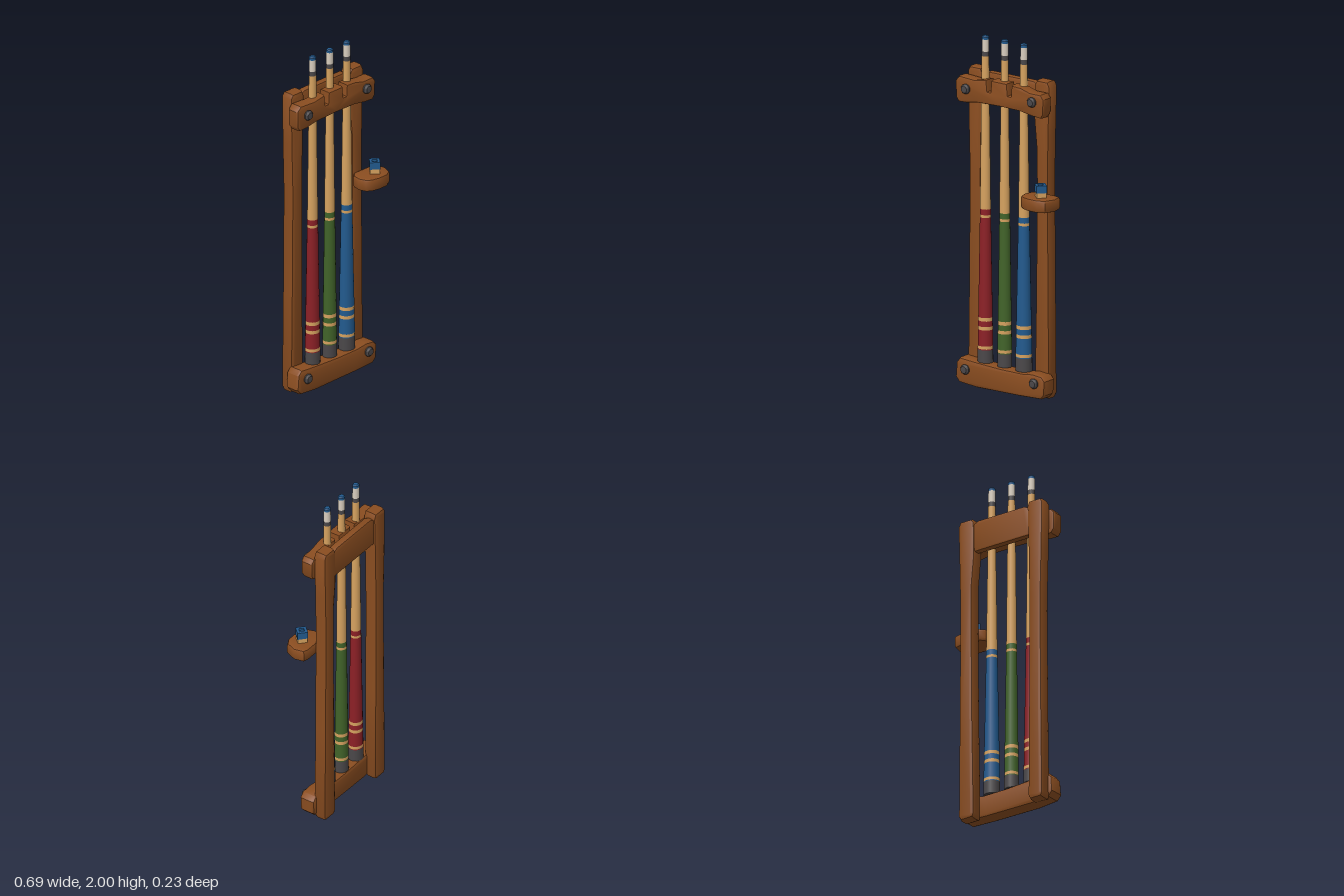
import * as THREE from 'three';
import { toCreasedNormals } from 'three/addons/utils/BufferGeometryUtils.js';

const mat = (name, color) => {
  const m = new THREE.MeshStandardMaterial({ color });
  m.name = name;
  return m;
};

export function createModel() {
  const root = new THREE.Group();
  root.name = 'cueRack';

  const wood = mat('brownWood', 0x8a4d20);
  const maple = mat('paleWood', 0xd6a25f);
  const red = mat('red', 0x8c2026);
  const green = mat('green', 0x416329);
  const blue = mat('blue', 0x225a8e);
  const grey = mat('darkGrey', 0x4a4749);
  const white = mat('offWhite', 0xd8cdbe);

  const add = (parent, name, geo, material) => {
    const mesh = new THREE.Mesh(geo, material);
    mesh.name = name;
    parent.add(mesh);
    return mesh;
  };

  // Bevelled slab: outline in x/y, thickness from z0 to z1
  const slab = (pts, z0, z1, bevel, holes = []) => {
    const shape = new THREE.Shape(pts.map(p => new THREE.Vector2(...p)));
    holes.forEach(h => shape.holes.push(new THREE.Path(h.map(p => new THREE.Vector2(...p)))));
    const geo = new THREE.ExtrudeGeometry(shape, {
      depth: z1 - z0 - 2 * bevel, bevelEnabled: bevel > 0, bevelThickness: bevel,
      bevelSize: bevel, bevelOffset: -bevel, bevelSegments: 2,
    });
    geo.translate(0, 0, z0 + bevel);
    return toCreasedNormals(geo, 0.7);
  };

  // Upright posts, slightly waisted
  add(root, 'rightPost', slab([
    [-0.31, 0.005], [-0.235, 0.005], [-0.222, 0.03], [-0.226, 0.6], [-0.228, 1.2], [-0.222, 1.55],
    [-0.215, 1.77], [-0.228, 1.8], [-0.305, 1.8], [-0.32, 1.775], [-0.316, 1.5], [-0.308, 1.2],
    [-0.313, 0.6], [-0.32, 0.03],
  ], -0.114, -0.035, 0.018), wood);
  add(root, 'leftPost', slab([
    [0.155, 0.005], [0.235, 0.005], [0.248, 0.03], [0.243, 0.6], [0.238, 1.25], [0.243, 1.5],
    [0.25, 1.77], [0.235, 1.8], [0.16, 1.8], [0.143, 1.775], [0.14, 1.58], [0.157, 1.4],
    [0.158, 1.2], [0.153, 0.6], [0.143, 0.03],
  ], -0.113, -0.035, 0.018), wood);

  // Rails
  add(root, 'upperBackRail', slab([
    [-0.225, 1.6], [0.155, 1.6], [0.155, 1.765], [0.12, 1.782], [-0.19, 1.782], [-0.225, 1.765],
  ], -0.104, -0.06, 0.012), wood);
  add(root, 'upperFrontRail', slab([
    [-0.325, 1.61], [-0.27, 1.612], [-0.2, 1.625], [-0.04, 1.63], [0.1, 1.628], [0.18, 1.615],
    [0.245, 1.61], [0.262, 1.635], [0.265, 1.72], [0.245, 1.745], [0.17, 1.745], [0.11, 1.762],
    [0.043, 1.766], [0.038, 1.7], [0.016, 1.7], [0.011, 1.768], [-0.098, 1.768], [-0.103, 1.7],
    [-0.125, 1.7], [-0.132, 1.765], [-0.21, 1.752], [-0.32, 1.758], [-0.345, 1.73], [-0.343, 1.635],
  ], -0.037, 0.038, 0.012), wood);
  add(root, 'lowerRail', slab([
    [-0.32, 0.02], [-0.2, 0.01], [0.1, 0.014], [0.245, 0.02], [0.27, 0.045], [0.275, 0.125],
    [0.25, 0.15], [0.19, 0.156], [0.12, 0.147], [-0.03, 0.147], [-0.2, 0.155], [-0.315, 0.163],
    [-0.338, 0.135], [-0.345, 0.05],
  ], -0.055, 0.04, 0.016), wood);

  // Bolt heads
  const boltProfile = [[0.027, 0], [0.029, 0.012], [0.02, 0.025], [0, 0.027]]
    .map(p => new THREE.Vector2(...p));
  const boltGeo = toCreasedNormals(new THREE.LatheGeometry(boltProfile, 10).rotateX(Math.PI / 2), 0.7);
  for (const [x, y] of [[-0.268, 1.693], [0.19, 1.697], [-0.271, 0.103], [0.205, 0.105]]) {
    add(root, 'bolt', boltGeo, grey).position.set(x, y, 0.036);
  }

  // Chalk shelf: outline in x and -z, laid flat
  const shelf = slab([
    [0.131, -0.037], [0.145, -0.08], [0.17, -0.1], [0.215, -0.112], [0.28, -0.112], [0.32, -0.09],
    [0.343, -0.03], [0.33, 0.028], [0.3, 0.037], [0.17, 0.037], [0.14, 0.01],
  ], 1.098, 1.172, 0.014);
  add(root, 'chalkShelf', shelf.rotateX(-Math.PI / 2), wood);

  // Chalk cube with a hollowed top
  const chalk = new THREE.Group();
  chalk.name = 'chalk';
  chalk.position.set(0.252, 1.168, 0.042);
  chalk.rotation.y = 0.85;
  root.add(chalk);
  const square = s => [[-s, -s], [s, -s], [s, s], [-s, s]];
  add(chalk, 'chalkWrapper', new THREE.BoxGeometry(0.053, 0.034, 0.053).translate(0, 0.017, 0), maple);
  add(chalk, 'chalkBody', new THREE.BoxGeometry(0.058, 0.03, 0.058).translate(0, 0.047, 0), blue);
  add(chalk, 'chalkRim', slab(square(0.029), 0.062, 0.074, 0, [square(0.014)])
    .rotateX(-Math.PI / 2), blue);

  // Cues: stacked tapered sections
  const stations = [[0.15, 0.045], [0.225, 0.044], [1.02, 0.031], [1.6, 0.024], [2, 0.02]];
  const radiusAt = (y, butt) => {
    let i = 0;
    while (i < stations.length - 2 && y > stations[i + 1][0]) i++;
    const [[y0, r0], [y1, r1]] = [stations[i], stations[i + 1]];
    const fat = THREE.MathUtils.lerp(butt, 1, THREE.MathUtils.clamp((y - 0.2) / 1.4, 0, 1));
    return THREE.MathUtils.lerp(r0, r1, (y - y0) / (y1 - y0)) * fat;
  };
  const cue = (name, x, butt, paint) => {
    const g = new THREE.Group();
    g.name = name;
    g.position.set(x, 0, -0.014);
    g.scale.z = 0.92;
    root.add(g);
    const sections = [
      ['bumper', 0.225, grey], ['butt', 0.23, paint], ['ring', 0.247, maple], ['butt', 0.338, paint],
      ['ring', 0.357, maple], ['butt', 0.388, paint], ['ring', 0.408, maple], ['butt', 0.973, paint],
      ['ring', 0.988, maple], ['butt', 1.02, paint], ['shaft', 1.6, maple], ['shaft', 1.885, maple],
      ['collar', 1.912, grey], ['ferrule', 1.98, white], ['tip', 1.994, blue],
    ];
    let y0 = 0.15;
    for (const [part, y1, m] of sections) {
      const geo = new THREE.CylinderGeometry(radiusAt(y1, butt), radiusAt(y0, butt), y1 - y0, 16, 1, part !== 'bumper');
      add(g, part, geo.translate(0, (y0 + y1) / 2, 0), m);
      y0 = y1;
    }
    // Domed end of the tip
    add(g, 'tipCap', new THREE.CylinderGeometry(0.014, radiusAt(y0, butt), 2 - y0, 16)
      .translate(0, (2 + y0) / 2, 0), blue);
  };
  cue('redCue', -0.176, 1, red);
  cue('greenCue', -0.042, 0.94, green);
  cue('blueCue', 0.091, 1.08, blue);

  return root;
}
